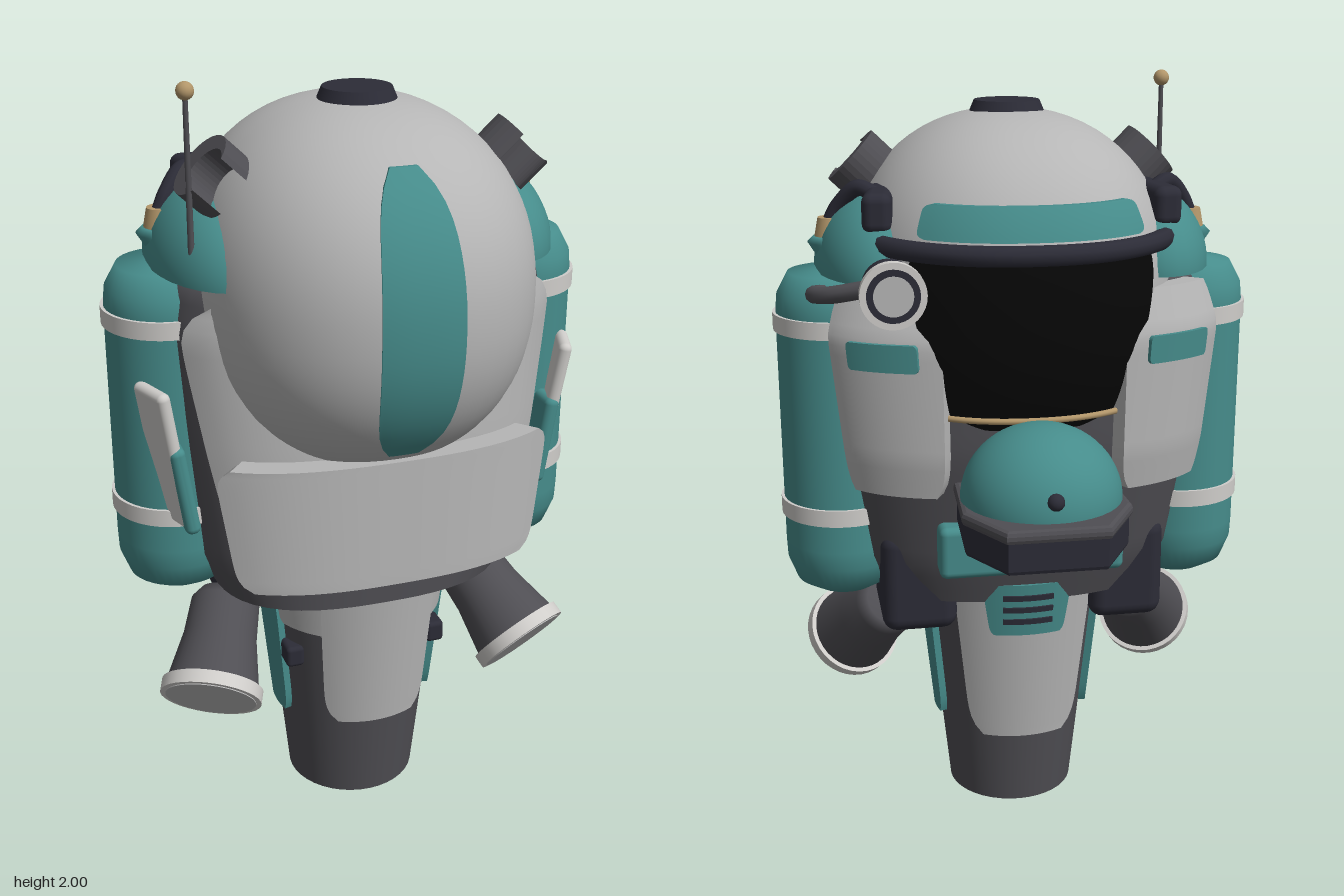
import * as THREE from 'three';
import { RoundedBoxGeometry } from 'three/addons/geometries/RoundedBoxGeometry.js';

const V = (x, y, z) => new THREE.Vector3(x, y, z);
const lerp = THREE.MathUtils.lerp;
const mat = (name, color) => Object.assign(new THREE.MeshStandardMaterial({ color }), { name });

export function createModel() {
  const root = new THREE.Group();
  root.name = 'armouredSuit';
  const shell = mat('shell grey', 0xb6b6b6);
  const light = mat('pale trim', 0xcfcdca);
  const dark = mat('dark grey', 0x4f4e53);
  const navy = mat('navy black', 0x2c2c37);
  const teal = mat('teal', 0x468c8b);
  const brass = mat('brass', 0xb2966a);
  const glass = mat('visor black', 0x070707);

  const add = (name, geo, m, pos = [0, 0, 0], parent = root) => {
    const mesh = new THREE.Mesh(geo, m);
    mesh.name = name;
    mesh.position.set(...pos);
    parent.add(mesh);
    return mesh;
  };
  const box = (w, h, d, r = 0.02) => new RoundedBoxGeometry(w, h, d, 3, r);
  const cyl = (rt, rb, h, n = 32) => new THREE.CylinderGeometry(rt, rb, h, n);
  const tube = (pts, r) => new THREE.TubeGeometry(new THREE.CatmullRomCurve3(pts), 32, r, 10);
  const deform = (geo, rule) => {
    const p = geo.attributes.position;
    for (let i = 0; i < p.count; i++) p.setXYZ(i, ...rule(p.getX(i), p.getY(i), p.getZ(i)));
    geo.computeVertexNormals();
    return geo;
  };

  // Surfaces: angle 0 is +z, PI/2 is +x, PI is the visor side
  const ring = (a, n, rx, rz, zc, y) => {
    const s = Math.sin(a), c = Math.cos(a);
    const k = (Math.abs(s) ** n + Math.abs(c) ** n) ** (-1 / n);
    return [rx * s * k, y, zc + rz * c * k];
  };
  const N = 2.2, HC = [0, 1.46, 0.12], HR = [0.43, 0.46, 0.485];
  const helmetAt = (a, y, off) => {
    const s = (1 - Math.abs((y - HC[1]) / HR[1]) ** N) ** (1 / N);
    return ring(a, N, HR[0] * s + off, HR[2] * s + off, HC[2], y);
  };
  // y, half width, visor-side z, rear z
  const rows = [[0.67, 0.39, -0.19, 0.39], [0.78, 0.44, -0.22, 0.39], [1.1, 0.48, -0.27, 0.38],
    [1.4, 0.51, -0.27, 0.36], [1.52, 0.48, -0.22, 0.34], [1.58, 0.38, -0.15, 0.25]];
  const bodyAt = (a, y, off) => {
    let i = 0;
    while (i < rows.length - 2 && y > rows[i + 1][0]) i++;
    const t = (y - rows[i][0]) / (rows[i + 1][0] - rows[i][0]);
    const [rx, z0, z1] = [1, 2, 3].map(j => lerp(rows[i][j], rows[i + 1][j], t));
    return ring(a, 2.6, rx + off, (z1 - z0) / 2 + off, (z0 + z1) / 2, y);
  };
  const legAt = (a, y, off) => {
    const r = 0.175 + y * 0.104 + off;
    return ring(a, 2, r, r, 0.1, y);
  };
  // Curved plate lying on one of the surfaces, with rounded corners
  const panel = (name, m, surf, mid, halfTop, halfBot, y0, y1, off, round = 0.2) =>
    add(name, deform(new THREE.BoxGeometry(1, 1, 1, 20, 20, 1), (x, y, z) => {
      const half = lerp(halfBot, halfTop, y + 0.5) * (1 - round * Math.abs(2 * y) ** 8);
      return surf(mid + 2 * x * half, lerp(y0, y1, y + 0.5), z > 0 ? off : -0.015);
    }), m);

  // Helmet and its plates
  add('helmet', deform(new THREE.SphereGeometry(1, 56, 40), (x, y, z) => {
    const k = (Math.abs(x) ** N + Math.abs(y) ** N + Math.abs(z) ** N) ** (-1 / N);
    return [x * k * HR[0], HC[1] + y * k * HR[1], HC[2] + z * k * HR[2]];
  }), shell);
  add('crownCap', cyl(0.085, 0.1, 0.035), navy, [0, 1.922, 0.135]);
  panel('rearStripe', teal, helmetAt, 0, 0.23, 0.23, 1.13, 1.82, 0.009, 0.5);
  panel('visor', glass, helmetAt, Math.PI, 0.78, 0.55, 1.17, 1.61, 0.008, 0.05);
  panel('browPlate', teal, helmetAt, Math.PI, 0.72, 0.72, 1.65, 1.73, 0.015, 0.08);
  const arc = (half, y, off) => Array.from({ length: 17 }, (_, i) =>
    V(...helmetAt(Math.PI + half * (i / 8 - 1), y, off)));
  add('visorRim', tube(arc(1.1, 1.62, 0.01), 0.026), navy);
  add('visorSill', tube(arc(0.6, 1.205, 0.02), 0.008), brass);

  // Torso and armour
  add('torso', deform(new THREE.CylinderGeometry(1, 1, 1, 56, 24), (x, y, z) => {
    const p = bodyAt(Math.atan2(x, z), lerp(0.67, 1.58, y + 0.5), 0), r = Math.hypot(x, z);
    return [p[0] * r, p[1], lerp(0.09, p[2], r)];
  }), dark);
  panel('rearShell', shell, bodyAt, 0, 1.02, 0.85, 0.85, 1.48, 0.025);
  panel('rearPad', shell, bodyAt, 0, 0.8, 0.76, 0.77, 1.1, 0.085, 0.1);

  // Pelvis, stem and hanging plates
  add('stem', cyl(0.247, 0.175, 0.69, 40), dark, [0, 0.345, 0.1]);
  panel('rearTasset', shell, legAt, 0, 0.62, 0.62, 0.27, 0.7, 0.03, 0.25);
  panel('rearSkirt', shell, legAt, 0, 1.2, 1.2, 0.54, 0.69, 0.015, 0.05);
  panel('frontTasset', shell, legAt, Math.PI, 0.72, 0.62, 0.24, 0.78, 0.045, 0.25);
  panel('ventPlate', teal, legAt, Math.PI, 0.4, 0.34, 0.57, 0.72, 0.062, 0.1);
  for (let i = 0; i < 3; i++)
    panel('ventSlot', navy, legAt, Math.PI, 0.22, 0.22, 0.605 + i * 0.035, 0.62 + i * 0.035, 0.068, 0);
  add('waistBar', box(0.48, 0.14, 0.09), teal, [0, 0.845, -0.232]);

  // Tray with domed top below the visor
  const outline = (s) => new THREE.Shape([[-0.2, 0.24], [0.2, 0.24], [0.21, 0.47], [0.125, 0.62],
    [-0.125, 0.62], [-0.21, 0.47]].map(([x, y]) => new THREE.Vector2(x * s, 0.42 + (y - 0.42) * s)));
  const slab = (name, m, s, depth, y) => {
    const geo = new THREE.ExtrudeGeometry(outline(s), {
      depth, bevelSize: 0.012, bevelThickness: 0.012, bevelOffset: -0.012, bevelSegments: 2 });
    add(name, geo, m, [0, y, 0]).rotation.x = -Math.PI / 2;
  };
  slab('tray', navy, 0.96, 0.08, 0.93);
  slab('trayRim', dark, 1, 0.01, 1.01);
  add('trayFoot', box(0.2, 0.05, 0.1, 0.01), navy, [0, 0.91, -0.41]);
  add('trayDome', new THREE.SphereGeometry(1, 40, 16, 0, Math.PI * 2, 0, Math.PI / 2), teal, [0, 1.03, -0.38])
    .scale.set(0.2, 0.185, 0.2);
  add('domeStud', new THREE.SphereGeometry(0.022, 16, 10), navy, [0, 1.08, -0.565]);

  const tankProfile = [[0, 0.65], [0.08, 0.66], [0.13, 0.69], [0.153, 0.75], [0.155, 0.8], [0.155, 1.42],
    [0.15, 1.47], [0.12, 1.525], [0.04, 1.54], [0.04, 1.56], [0.065, 1.6], [0.05, 1.615], [0, 1.615]]
    .map(p => new THREE.Vector2(...p));

  for (const s of [1, -1]) {
    // Air tanks
    const tank = new THREE.Group();
    tank.name = s > 0 ? 'leftTank' : 'rightTank';
    tank.position.set(s * 0.465, 0, 0.045);
    root.add(tank);
    add('tankBody', new THREE.LatheGeometry(tankProfile, 40), teal, [0, 0, 0], tank);
    for (const y of [0.9, 1.4]) add('tankBand', cyl(0.163, 0.163, 0.045, 40), light, [0, y, 0], tank);
    add('tankValve', cyl(0.032, 0.042, 0.05, 20), brass, [s * 0.005, 1.637, 0], tank);

    // Shoulder, ear block and air hose
    add('shoulderPad', new THREE.SphereGeometry(1, 32, 14, 0, Math.PI * 2, 0, Math.PI / 2), teal,
      [s * 0.345, 1.53, 0.07]).scale.set(0.17, 0.2, 0.285);
    add('shoulderBase', new THREE.CircleGeometry(1, 32).rotateX(Math.PI / 2), teal, [s * 0.345, 1.53, 0.07])
      .scale.set(0.17, 1, 0.285);
    add('earBlock', box(0.075, 0.1, 0.22, 0.025), navy, [s * 0.352, 1.695, -0.045]).rotation.y = -s * 0.15;
    add('airHose', tube([V(s * 0.35, 1.72, -0.03), V(s * 0.4, 1.74, 0), V(s * 0.45, 1.69, 0.035),
      V(s * 0.47, 1.65, 0.045)], 0.021), navy);

    // Crescent scoop on the helmet
    const moon = new THREE.Shape();
    moon.absarc(0, 0, 0.085, 0.6, Math.PI * 2 - 0.6, false);
    moon.absarc(0.035, 0, 0.059, Math.PI * 2 - 0.95, 0.95, true);
    const scoop = add('crescentScoop', new THREE.ExtrudeGeometry(moon, { depth: 0.09, bevelEnabled: false }),
      dark, [s * 0.34, 1.735, 0.2]);
    const out = V(s * 0.72, 0.69, 0.05).normalize();
    const open = V(s * 0.25, 0.15, 1).addScaledVector(out, -V(s * 0.25, 0.15, 1).dot(out)).normalize();
    scoop.quaternion.setFromRotationMatrix(new THREE.Matrix4().makeBasis(open, out.clone().cross(open), out));

    // Chest plate with badge, and side fins
    panel('chestPlate', shell, bodyAt, Math.PI - s * 0.7, 0.3, 0.27, 1.0, 1.51, 0.045, 0.15);
    panel('chestBadge', teal, bodyAt, Math.PI - s * 0.68, 0.17, 0.17, 1.33, 1.4, 0.054, 0.08);
    const fin = add('sideFin', box(0.035, 0.38, 0.13, 0.017), light, [s * 0.52, 1.08, 0.205]);
    fin.rotation.set(0, s * -0.35, s * -0.16);
    add('finBracket', box(0.04, 0.24, 0.12, 0.018), teal, [s * 0.485, 1.0, 0.215]).rotation.z = -s * 0.15;

    // Hip block and side tasset
    add('hipBlock', box(0.2, 0.28, 0.28, 0.04), navy, [s * 0.28, 0.72, -0.02]);
    panel('sideTasset', teal, legAt, s * Math.PI / 2, 0.36, 0.34, 0.24, 0.62, 0.02, 0.15);
    add('tassetClip', box(0.05, 0.06, 0.08, 0.012), navy, [s * 0.2, 0.45, 0.2]);

    // Thruster nozzle
    const jet = new THREE.Group();
    jet.name = s > 0 ? 'leftThruster' : 'rightThruster';
    jet.position.set(s * 0.44, 0.41, 0.265);
    jet.quaternion.setFromUnitVectors(V(0, -1, 0), V(s * 0.35, -0.62, 0.7).normalize());
    root.add(jet);
    const bell = [[0, 0.28], [0.07, 0.28], [0.092, 0.25], [0.098, 0.15], [0.122, 0.02], [0.122, 0], [0, 0]]
      .map(p => new THREE.Vector2(...p)).reverse();
    add('nozzleBell', new THREE.LatheGeometry(bell, 36), dark, [0, 0, 0], jet);
    add('nozzleRim', cyl(0.134, 0.134, 0.035, 36), light, [0, 0, 0], jet);
    add('nozzleFace', cyl(0.12, 0.12, 0.008, 36), shell, [0, -0.016, 0], jet);
  }

  // Side lamp on the left
  const lamp = new THREE.Group();
  lamp.name = 'sideLamp';
  lamp.position.set(0.35, 1.54, -0.3);
  root.add(lamp);
  const disc = (name, r, h, z, m) => { add(name, cyl(r, r, h), m, [0, 0, z], lamp).rotation.x = Math.PI / 2; };
  disc('lampBody', 0.066, 0.11, 0, navy);
  disc('lampCollar', 0.075, 0.03, -0.035, navy);
  disc('lampRim', 0.08, 0.025, -0.06, light);
  disc('lampGasket', 0.064, 0.006, -0.071, navy);
  disc('lampLens', 0.048, 0.008, -0.073, shell);
  add('lampArm', tube([V(0.36, 1.54, -0.25), V(0.41, 1.53, -0.235), V(0.49, 1.51, -0.19),
    V(0.525, 1.5, -0.13), V(0.5, 1.49, -0.07)], 0.022), dark);

  // Antenna on the right
  add('antennaRod', cyl(0.006, 0.008, 0.42, 10), dark, [-0.445, 1.77, 0.26]);
  add('antennaTip', new THREE.SphereGeometry(0.021, 16, 12), brass, [-0.445, 1.979, 0.26]);
  return root;
}
